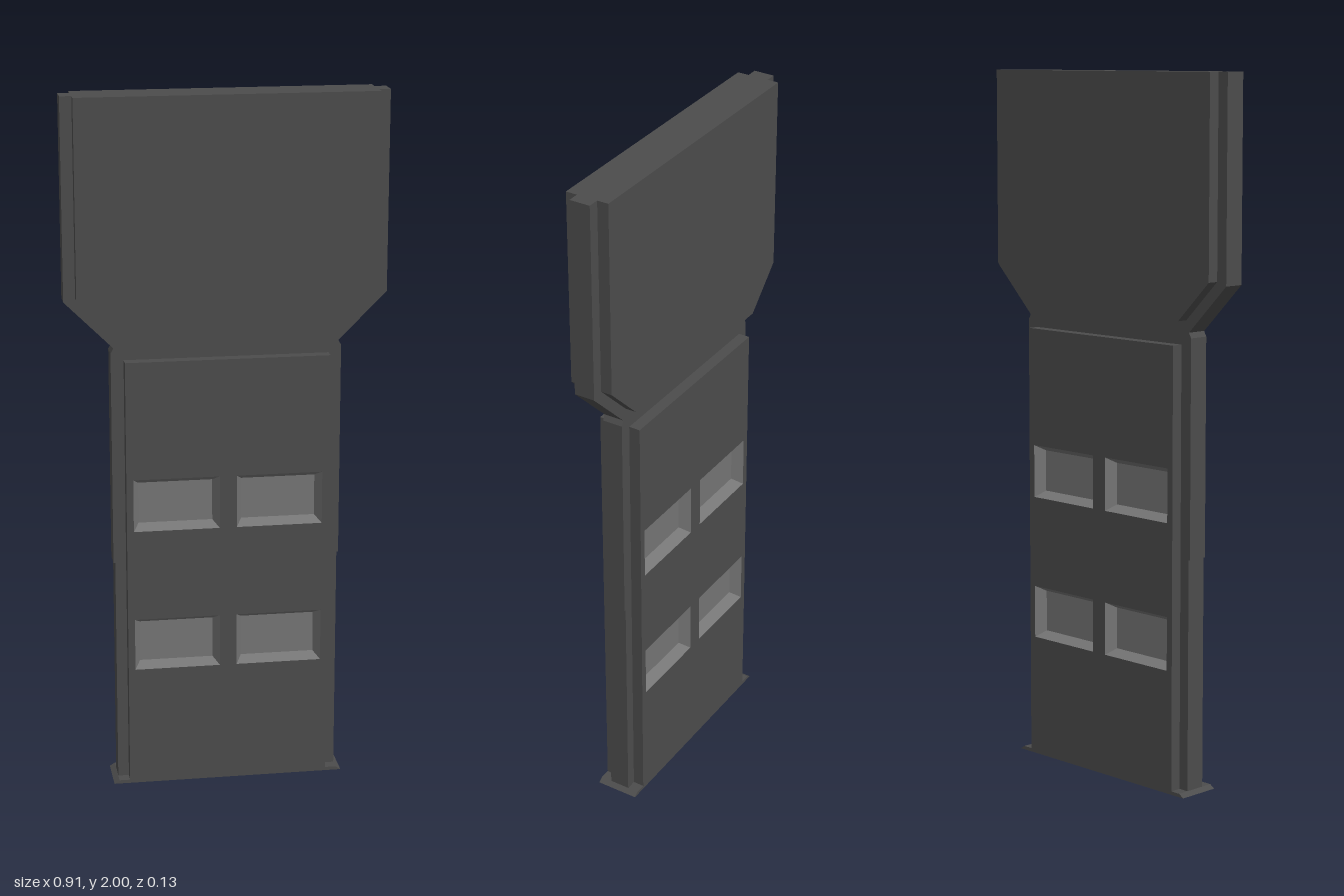
import * as THREE from 'three';

const dark = new THREE.MeshStandardMaterial({ color: 0x4c4c4c, flatShading: true });
const pane = new THREE.MeshStandardMaterial({ color: 0x757575, flatShading: true });

const CORE = 0.03;   // half thickness of the core slab
const FACE = 0.063;  // half thickness at the raised panels

// Closed outline mirrored about x = 0 from its right half, listed bottom to top
function mirroredShape(half) {
  const pts = [...half, ...half.slice().reverse().map(([x, y]) => [-x, y])];
  return new THREE.Shape(pts.map(([x, y]) => new THREE.Vector2(x, y)));
}

function slab(name, shape, z0, z1) {
  const geo = new THREE.ExtrudeGeometry(shape, { depth: z1 - z0, bevelEnabled: false });
  geo.translate(0, 0, z0);
  const mesh = new THREE.Mesh(geo, dark);
  mesh.name = name;
  return mesh;
}

// Corners of a rectangle, counter-clockwise seen from +z
const corners = (cx, cy, w, h) => [
  [cx - w / 2, cy - h / 2], [cx + w / 2, cy - h / 2],
  [cx + w / 2, cy + h / 2], [cx - w / 2, cy + h / 2],
];

// Recess with sloped sides and a flat floor
function windowRecess(cx, cy, w, h) {
  const inset = 0.017;
  const outer = corners(cx, cy, w, h).map(([x, y]) => [x, y, FACE]);
  const inner = corners(cx, cy, w - 2 * inset, h - 2 * inset).map(([x, y]) => [x, y, CORE + 0.002]);
  const pos = [];
  const quad = (a, b, c, d) => pos.push(...a, ...b, ...c, ...a, ...c, ...d);
  for (let i = 0; i < 4; i++) {
    const j = (i + 1) % 4;
    quad(outer[i], outer[j], inner[j], inner[i]);
  }
  quad(...inner);
  const geo = new THREE.BufferGeometry();
  geo.setAttribute('position', new THREE.Float32BufferAttribute(pos, 3));
  geo.computeVertexNormals();
  const mesh = new THREE.Mesh(geo, pane);
  mesh.name = 'windowRecess';
  return mesh;
}

export function createModel() {
  const model = new THREE.Group();
  model.name = 'signPylon';

  // Core slab: narrow stem flaring into a wide head
  const core = mirroredShape([
    [0.32, 0], [0.32, 0.67], [0.325, 0.67], [0.325, 1.285], [0.317, 1.3], [0.453, 1.435], [0.453, 2],
  ]);
  model.add(slab('core', core, -CORE, CORE));

  // Raised panels and windows, the same on both faces
  for (const side of ['front', 'back']) {
    const face = new THREE.Group();
    face.name = side + 'Face';
    if (side === 'back') face.rotation.y = Math.PI;

    const head = mirroredShape([[0.307, 1.333], [0.42, 1.445], [0.42, 2]]);
    face.add(slab('headPanel', head, CORE, FACE));

    const stem = mirroredShape([[0.289, 0], [0.289, 1.265]]);
    const w = 0.245, h = 0.153;
    for (const cy of [0.43, 0.848]) {
      for (const cx of [-0.147, 0.147]) {
        stem.holes.push(new THREE.Path(corners(cx, cy, w, h).reverse().map(([x, y]) => new THREE.Vector2(x, y))));
        face.add(windowRecess(cx, cy, w, h));
      }
    }
    face.add(slab('stemPanel', stem, CORE, FACE));
    model.add(face);
  }

  // Thin foot with pointed side edges
  model.add(slab('foot', mirroredShape([[0.335, 0], [0.32, 0.01]]), -FACE, FACE));

  return model;
}
